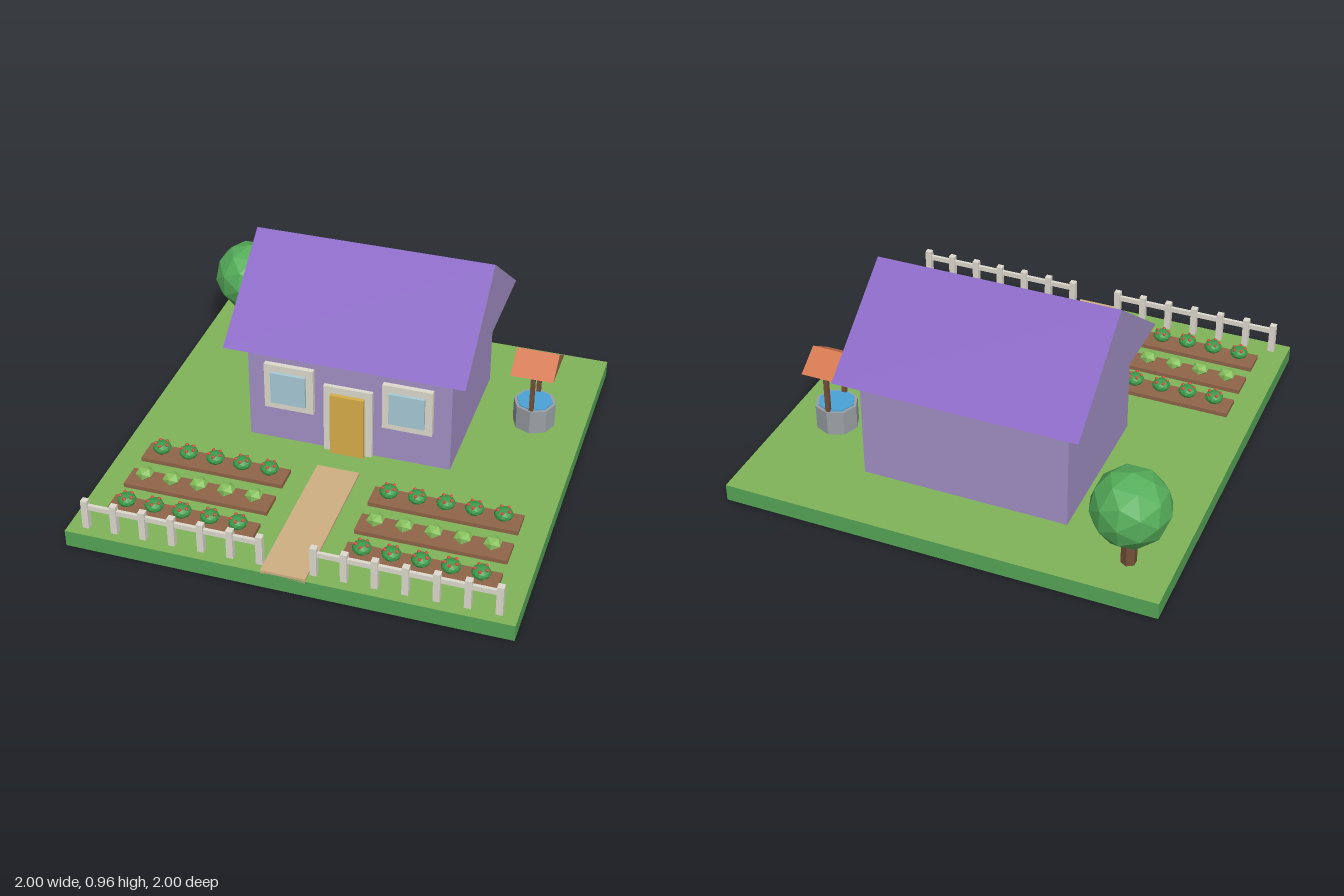
import * as THREE from 'three';

const mat = (color) => new THREE.MeshStandardMaterial({ color, flatShading: true });
const M = {
  grass: mat(0x80b45a), turf: mat(0x56a556), wall: mat(0xa390c6), roof: mat(0x8663c2),
  trim: mat(0xdedace), door: mat(0xd8ae4a), glass: mat(0xa8ccd8), path: mat(0xd0b084),
  soil: mat(0x906548), stone: mat(0x9aa0a6), water: mat(0x4aa3d8), tile: mat(0xd2754c),
  beam: mat(0x9a6b45), wood: mat(0x74503a), leaf: mat(0x55ad5a), bush: mat(0x3c9a4a),
  lettuce: mat(0x86bf5c), red: mat(0xd64a3c),
};

function add(parent, name, geometry, material, x = 0, y = 0, z = 0) {
  const mesh = new THREE.Mesh(geometry, material);
  mesh.name = name;
  mesh.position.set(x, y, z);
  parent.add(mesh);
  return mesh;
}

// Box given by its limits on each axis
function box(parent, name, material, [x0, x1], [y0, y1], [z0, z1]) {
  return add(parent, name, new THREE.BoxGeometry(x1 - x0, y1 - y0, z1 - z0), material,
    (x0 + x1) / 2, (y0 + y1) / 2, (z0 + z1) / 2);
}

function group(parent, name, x = 0, y = 0, z = 0) {
  const g = new THREE.Group();
  g.name = name;
  g.position.set(x, y, z);
  parent.add(g);
  return g;
}

// Gable roof with its ridge along x: coloured slopes, plain ends and underside
function gableRoof(parent, name, w, h, d, slopeMat, endMat, x, y, z) {
  const a = [-w, 0, d], b = [w, 0, d], c = [w, 0, -d], e = [-w, 0, -d];
  const l = [-w, h, 0], r = [w, h, 0];
  const build = (corners) => {
    const geo = new THREE.BufferGeometry();
    geo.setAttribute('position', new THREE.Float32BufferAttribute(corners.flat(), 3));
    geo.computeVertexNormals();
    return geo;
  };
  const g = group(parent, name, x, y, z);
  add(g, name + 'Slopes', build([a, b, r, a, r, l, c, e, l, c, l, r]), slopeMat);
  add(g, name + 'Ends', build([b, c, r, e, a, l, a, e, c, a, c, b]), endMat);
}

function addHouse(root) {
  const house = group(root, 'house');
  box(house, 'walls', M.wall, [-0.48, 0.48], [0.08, 0.6], [-0.68, 0.08]);
  gableRoof(house, 'roof', 0.56, 0.36, 0.48, M.roof, M.wall, 0, 0.6, -0.3);
  box(house, 'doorFrame', M.trim, [-0.115, 0.115], [0.08, 0.435], [0.07, 0.1]);
  box(house, 'door', M.door, [-0.08, 0.08], [0.08, 0.4], [0.09, 0.12]);
  for (const s of [-1, 1]) {
    const x = s * 0.28;
    box(house, 'windowFrame', M.trim, [x - 0.117, x + 0.117], [0.265, 0.5], [0.07, 0.105]);
    box(house, 'windowPane', M.glass, [x - 0.083, x + 0.083], [0.303, 0.465], [0.09, 0.12]);
  }
}

function addWell(root) {
  const well = group(root, 'well', 0.76, 0, -0.4);
  add(well, 'wellWall', new THREE.CylinderGeometry(0.1, 0.1, 0.12, 8), M.stone, 0, 0.14, 0);
  add(well, 'wellWater', new THREE.CylinderGeometry(0.085, 0.085, 0.01, 8), M.water, 0, 0.2, 0);
  for (const s of [-1, 1]) {
    box(well, 'wellPost', M.wood, [-0.01, 0.01], [0.19, 0.42], [s * 0.08 - 0.01, s * 0.08 + 0.01]);
  }
  gableRoof(well, 'wellRoof', 0.1, 0.08, 0.12, M.tile, M.beam, 0, 0.4, 0);
}

function addTree(root) {
  const tree = group(root, 'tree', -0.8, 0, -0.8);
  add(tree, 'trunk', new THREE.CylinderGeometry(0.035, 0.035, 0.18, 6), M.wood, 0, 0.16, 0);
  add(tree, 'crown', new THREE.IcosahedronGeometry(0.175, 1), M.leaf, 0, 0.37, 0);
  add(tree, 'fruit', new THREE.IcosahedronGeometry(0.02, 1), M.red, -0.09, 0.47, -0.02);
}

// One garden plant; berries dot the darker bushes
function addPlant(parent, x, z, berries) {
  const plant = group(parent, berries ? 'berryBush' : 'lettuce', x, 0.135, z);
  const head = add(plant, 'leaves', new THREE.IcosahedronGeometry(0.043, berries ? 1 : 0),
    berries ? M.bush : M.lettuce);
  head.scale.y = 0.68;
  if (!berries) return;
  for (let i = 0; i < 5; i++) {
    const t = (i / 5) * Math.PI * 2;
    add(plant, 'berry', new THREE.IcosahedronGeometry(0.009, 0), M.red,
      Math.sin(t) * 0.028, 0.022, Math.cos(t) * 0.028);
  }
}

function addGarden(root) {
  const garden = group(root, 'garden');
  for (const s of [-1, 1]) {
    [0.38, 0.58, 0.78].forEach((z, row) => {
      box(garden, 'bed', M.soil, [s * 0.54 - 0.34, s * 0.54 + 0.34], [0.07, 0.1], [z - 0.06, z + 0.06]);
      for (let i = 0; i < 5; i++) addPlant(garden, s * (0.28 + i * 0.13), z, row !== 1);
    });
  }
}

function addFence(root) {
  const fence = group(root, 'fence');
  for (const s of [-1, 1]) {
    box(fence, 'rail', M.trim, [s * 0.52 - 0.4, s * 0.52 + 0.4], [0.178, 0.202], [0.932, 0.948]);
    for (let i = 0; i < 7; i++) {
      const x = s * (0.12 + (i * 0.8) / 6);
      box(fence, 'fencePost', M.trim, [x - 0.015, x + 0.015], [0.08, 0.225], [0.925, 0.955]);
    }
  }
}

export function createModel() {
  const root = new THREE.Group();
  root.name = 'cottageGarden';
  // Ground slab with a lighter grass top
  const { turf, grass } = M;
  box(root, 'ground', [turf, turf, grass, turf, turf, turf], [-1, 1], [0, 0.08], [-1, 1]);
  box(root, 'path', M.path, [-0.1, 0.1], [0.07, 0.092], [0.24, 1]);
  addHouse(root);
  addWell(root);
  addTree(root);
  addGarden(root);
  addFence(root);
  return root;
}
